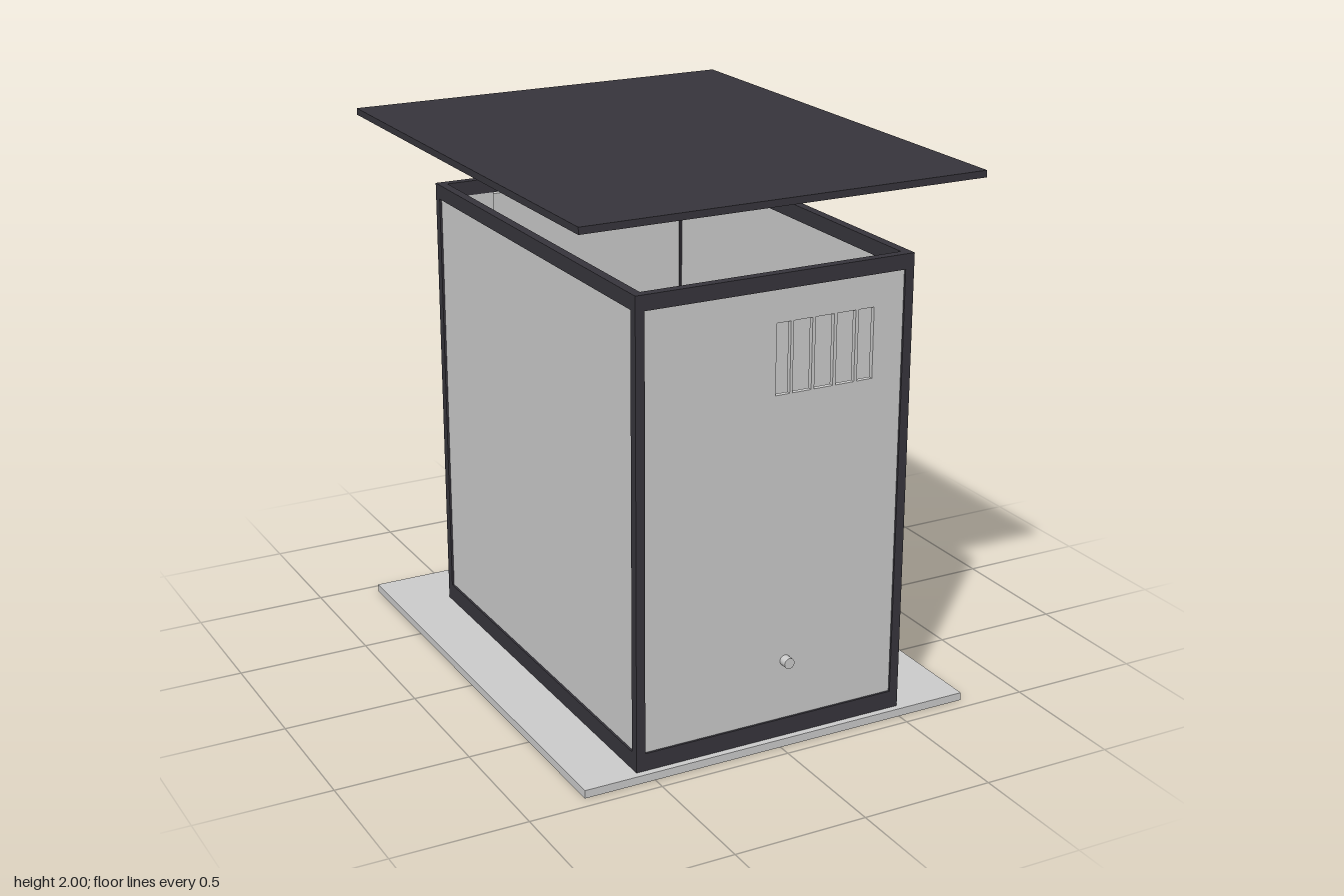
import * as THREE from 'three';

export function createModel() {
  const root = new THREE.Group();
  const material = (name, color) => {
    const m = new THREE.MeshStandardMaterial({ color });
    m.name = name;
    return m;
  };
  const dark = material('charcoal', 0x37353c);
  const light = material('light grey', 0xcccccc);
  const black = material('black', 0x1e1e22);

  const add = (name, geometry, mat, parent = root) => {
    const mesh = new THREE.Mesh(geometry, mat);
    mesh.name = name;
    parent.add(mesh);
    return mesh;
  };
  // Box given by its extents on each axis
  const block = (name, mat, [x0, x1], [y0, y1], [z0, z1], parent = root) => {
    const mesh = add(name, new THREE.BoxGeometry(x1 - x0, y1 - y0, z1 - z0), mat, parent);
    mesh.position.set((x0 + x1) / 2, (y0 + y1) / 2, (z0 + z1) / 2);
    return mesh;
  };

  // Ground slab and the raised flat roof
  block('baseSlab', light, [-0.77, 0.77], [0, 0.03], [-0.95, 0.95]);
  block('roof', dark, [-0.77, 0.77], [1.975, 2], [-0.95, 0.95]);

  // Hut extents
  const L = -0.56, R = 0.505, B = -0.705, F = 0.925, T = 0.034;
  const low = 0.03, sill = 0.096, head = 1.685, top = 1.74, seam = -0.348;

  // Corner posts and rails
  const frame = new THREE.Group();
  frame.name = 'frame';
  root.add(frame);
  for (const x of [L, R - T]) {
    for (const z of [B, F - T]) block('cornerPost', dark, [x, x + T], [low, top], [z, z + T], frame);
    block('sideTopRail', dark, [x, x + T], [head, top], [B + T, F - T], frame);
    block('sideBottomRail', dark, [x, x + T], [low, sill], [B + T, F - T], frame);
  }
  for (const z of [B, F - T]) block('endTopRail', dark, [L + T, R - T], [head, top], [z, z + T], frame);
  block('frontBottomRail', dark, [L + T, R - T], [low, sill], [F - T, F], frame);
  block('backBottomRail', dark, [L + T, seam], [low, sill], [B, B + T], frame);

  // Side walls, slightly recessed
  for (const x of [L + 0.008, R - 0.026])
    block('sideWall', light, [x, x + 0.018], [sill, head], [B + T, F - T]);

  // Front wall with five vent slots
  const rect = (shape, x0, x1, y0, y1) => {
    shape.moveTo(x0, y0);
    shape.lineTo(x1, y0);
    shape.lineTo(x1, y1);
    shape.lineTo(x0, y1);
    shape.closePath();
    return shape;
  };
  const wall = rect(new THREE.Shape(), L + T, R - T, sill, head);
  for (const [x0, x1] of [[-0.028, 0.027], [0.038, 0.111], [0.123, 0.196], [0.208, 0.281], [0.293, 0.354]])
    wall.holes.push(rect(new THREE.Path(), x0, x1, 1.312, 1.567));
  add('frontWall', new THREE.ExtrudeGeometry(wall, { depth: 0.018, bevelEnabled: false }), light)
    .position.z = F - 0.026;

  // Short outlet pipe
  const pipe = add('outletPipe', new THREE.CylinderGeometry(0.02, 0.02, 0.07, 24), light);
  pipe.rotation.x = Math.PI / 2;
  pipe.position.set(0.03, 0.32, 0.915);

  // Back wall: narrow fixed panel beside a door with a gap below it
  block('backPanel', light, [L + T, seam + 0.01], [sill, head], [B + 0.018, B + T]);
  block('door', light, [seam, R - T], [0.132, head - 0.008], [B + 0.004, B + 0.026]);
  block('doorBottomRail', dark, [seam, R - T], [0.1, 0.132], [B + 0.004, B + 0.026]);

  // Door knob: a stepped round turned about its axis
  const profile = [[0, 0], [0.034, 0], [0.034, 0.008], [0.047, 0.008], [0.047, 0.016], [0.034, 0.019], [0.032, 0.026], [0, 0.026]];
  const points = profile.map(([r, h]) => new THREE.Vector2(r, h));
  const knob = add('doorKnob', new THREE.LatheGeometry(points, 24), black);
  knob.rotation.x = -Math.PI / 2;
  knob.position.set(-0.265, 0.895, B + 0.004);

  return root;
}
